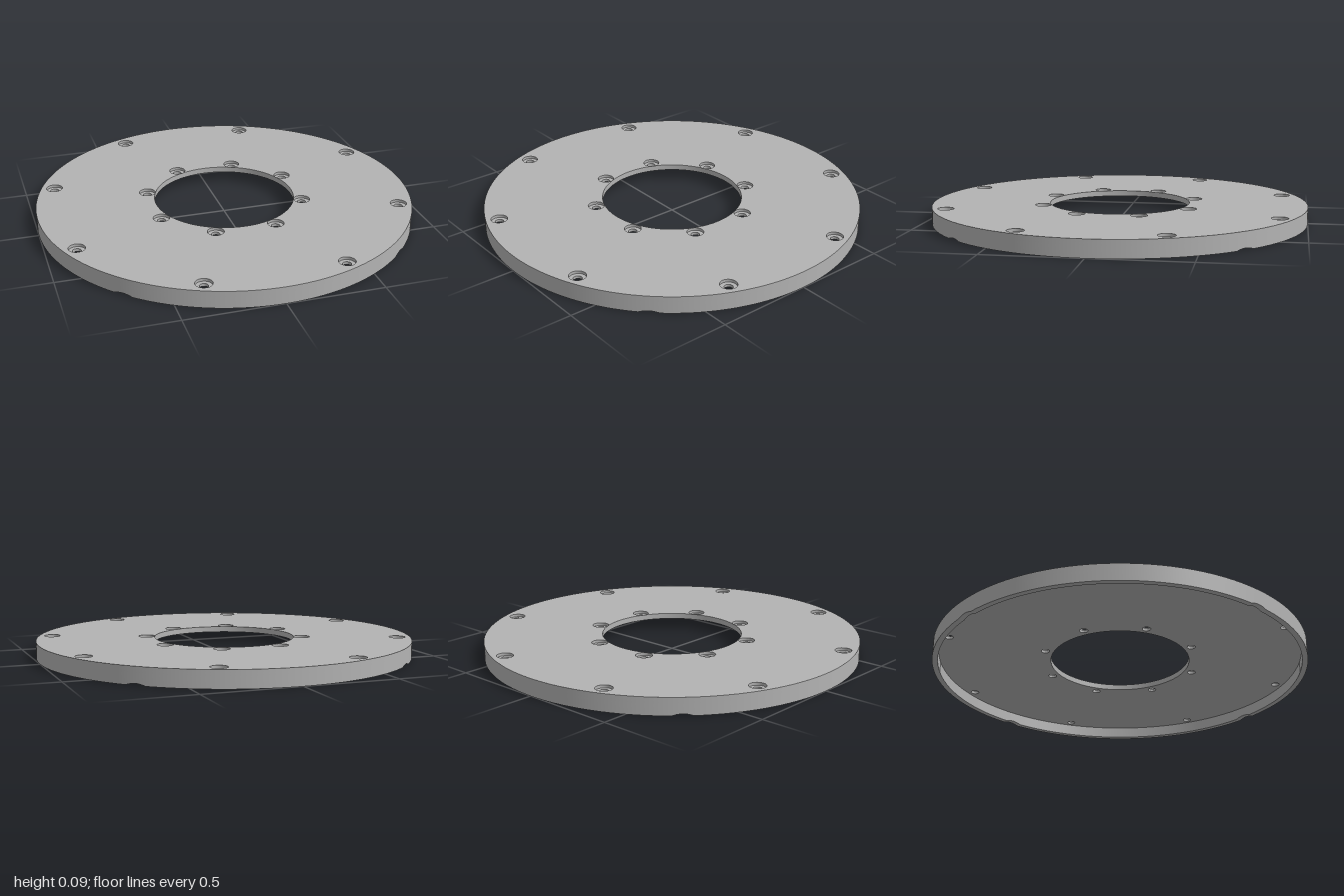
import * as THREE from 'three';
import { toCreasedNormals } from 'three/addons/utils/BufferGeometryUtils.js';

const HEIGHT = 0.09, RECESS = 0.06, LEDGE = 0.075;
const BORE = 0.373, RIM_INNER = 0.97, SEGMENTS = 480;

function circle(radius, count, cx = 0, cy = 0) {
  return Array.from({ length: count }, (_, i) => {
    const a = (i / count) * Math.PI * 2;
    return new THREE.Vector2(cx + radius * Math.cos(a), cy + radius * Math.sin(a));
  });
}

// One layer of the flange, pierced by the bore and two rings of eight holes
function layer(bottom, top, holeRadius) {
  const shape = new THREE.Shape(circle(1, SEGMENTS));
  shape.holes.push(new THREE.Path(circle(BORE, 192)));
  for (const ring of [0.417, 0.93]) {
    for (let i = 0; i < 8; i++) {
      const a = (i + 0.5) * Math.PI / 4;
      shape.holes.push(new THREE.Path(circle(holeRadius, 32, ring * Math.cos(a), ring * Math.sin(a))));
    }
  }
  const geometry = new THREE.ExtrudeGeometry(shape, { depth: top - bottom, bevelEnabled: false });
  geometry.rotateX(-Math.PI / 2).translate(0, bottom, 0);
  return toCreasedNormals(geometry, 0.6);
}

// Hanging outer rim, with four shallow arched notches on the diagonals
function rim() {
  const profile = [[RIM_INNER, RECESS], [RIM_INNER, 0], [1, 0], [1, RECESS]]
    .map(([r, y]) => new THREE.Vector2(r, y));
  const geometry = new THREE.LatheGeometry(profile, SEGMENTS);
  const p = geometry.attributes.position;
  for (let i = 0; i < p.count; i++) {
    if (p.getY(i) > 0.001) continue;
    const x = Math.abs(p.getX(i)), z = Math.abs(p.getZ(i));
    const s = (Math.atan2(z, x) - Math.PI / 4) / 0.05;
    p.setY(i, Math.max(0, 0.01 * (1 - s * s)));
  }
  return toCreasedNormals(geometry, 0.6);
}

export function createModel() {
  const model = new THREE.Group();
  model.name = 'flangeRing';
  const grey = new THREE.MeshStandardMaterial({ color: 0xb3b3b3 });
  grey.name = 'metalGrey';

  const add = (name, geometry) => {
    const mesh = new THREE.Mesh(geometry, grey);
    mesh.name = name;
    model.add(mesh);
  };
  add('counterboredPlate', layer(LEDGE, HEIGHT, 0.043));
  add('throughHolePlate', layer(RECESS, LEDGE, 0.022));
  add('outerRim', rim());
  return model;
}
